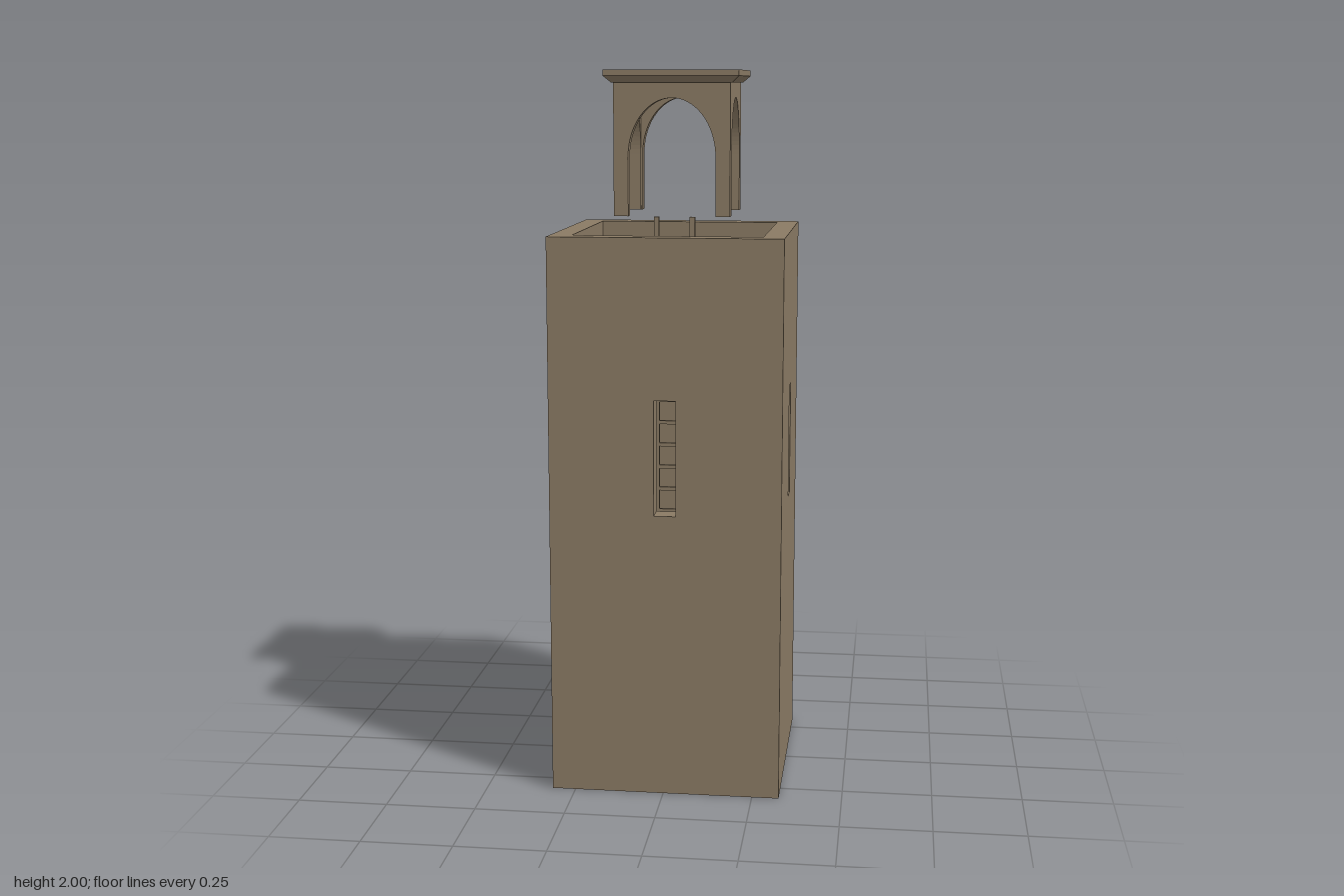
import * as THREE from 'three';

export function createModel() {
  const model = new THREE.Group();
  model.name = 'bellTower';
  const tower = new THREE.Group();
  tower.name = 'tower';
  // trims stick out on two sides only, so the tower sits slightly off centre
  tower.position.set(0.005, 0, 0.005);
  model.add(tower);

  const stone = new THREE.MeshStandardMaterial({ color: 0x8a7a64 });
  stone.name = 'stone';

  const SPRING = 0.16, ARCH_HALF = 0.12, ARCH_TOP = 0.32;

  function add(parent, name, geometry, x = 0, y = 0, z = 0) {
    const mesh = new THREE.Mesh(geometry, stone);
    mesh.name = name;
    mesh.position.set(x, y, z);
    parent.add(mesh);
    return mesh;
  }

  // one side of the tower, facing +z before being turned
  function side(name, quarter) {
    const group = new THREE.Group();
    group.name = name;
    group.rotation.y = quarter * Math.PI / 2;
    tower.add(group);
    return group;
  }

  // lower edge of a shape, running round an arched opening
  function archedBase(half) {
    const s = new THREE.Shape();
    s.moveTo(-half, 0);
    s.lineTo(-ARCH_HALF, 0);
    s.lineTo(-ARCH_HALF, SPRING);
    s.absellipse(0, SPRING, ARCH_HALF, ARCH_TOP - SPRING, Math.PI, 0, true);
    s.lineTo(ARCH_HALF, 0);
    s.lineTo(half, 0);
    return s;
  }

  function archedWall(half, height) {
    const s = archedBase(half);
    s.lineTo(half, height);
    s.lineTo(-half, height);
    return s;
  }

  function slitWall(half, height) {
    const s = new THREE.Shape([
      new THREE.Vector2(-half, 0), new THREE.Vector2(half, 0),
      new THREE.Vector2(half, height), new THREE.Vector2(-half, height),
    ]);
    s.holes.push(new THREE.Path([
      new THREE.Vector2(-0.03, 0.8), new THREE.Vector2(-0.03, 1.12),
      new THREE.Vector2(0.03, 1.12), new THREE.Vector2(0.03, 0.8),
    ]));
    return s;
  }

  function archTrim() {
    const s = archedBase(0.16);
    s.lineTo(0.16, SPRING);
    s.absellipse(0, SPRING, 0.16, 0.2, 0, Math.PI, false);
    return s;
  }

  const extrude = (shape, depth) =>
    new THREE.ExtrudeGeometry(shape, { depth, bevelEnabled: false, curveSegments: 20 });

  // hollow shaft: slits in front and left, arched doorways in back and right
  ['front', 'left', 'back', 'right'].forEach((label, i) => {
    const group = side(label + 'Side', i);
    const half = i % 2 ? 0.26 : 0.32;
    const shape = i < 2 ? slitWall(half, 1.56) : archedWall(half, 1.56);
    add(group, 'wall', extrude(shape, 0.06), 0, 0, 0.26);
    if (i >= 2) add(group, 'doorTrim', extrude(archTrim(), 0.01), 0, 0, 0.32);
    // belfry arch above this side
    const belfry = archedWall(i % 2 ? 0.125 : 0.16, 0.365);
    add(group, 'belfryArch', extrude(belfry, 0.035), 0, 1.605, 0.125);
  });

  // square roof slab with a sloping underside
  function squareSlab(name, top, bottom, y0, y1) {
    const g = new THREE.CylinderGeometry(top * Math.SQRT2, bottom * Math.SQRT2, y1 - y0, 4).toNonIndexed();
    g.rotateY(Math.PI / 4);
    g.computeVertexNormals();
    add(tower, name, g, 0, (y0 + y1) / 2, 0);
  }
  squareSlab('roofCornice', 0.185, 0.165, 1.966, 1.984);
  squareSlab('roofSlab', 0.185, 0.185, 1.984, 2);

  // ladder inside the shaft
  const ladder = new THREE.Group();
  ladder.name = 'ladder';
  ladder.position.z = 0.095;
  tower.add(ladder);
  for (const x of [-0.05, 0.05]) {
    add(ladder, 'ladderRail', new THREE.BoxGeometry(0.014, 1.6, 0.014), x, 0.8, 0);
  }
  for (let i = 0; i < 24; i++) {
    add(ladder, 'ladderRung', new THREE.BoxGeometry(0.09, 0.01, 0.01), 0, 0.06 + i * 0.064, 0);
  }

  return model;
}
